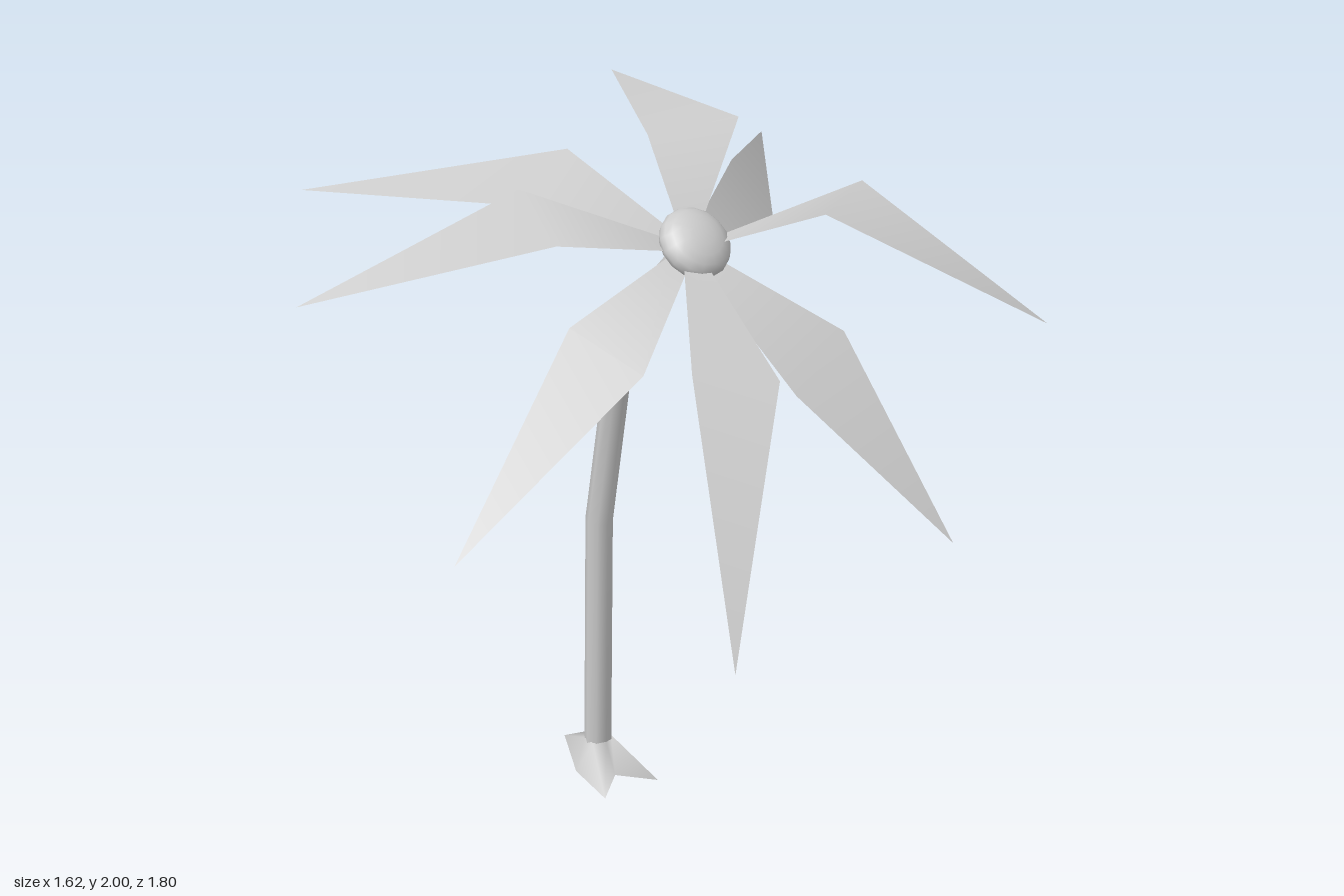
import * as THREE from 'three';

const material = new THREE.MeshStandardMaterial({ color: 0xcccccc, side: THREE.DoubleSide });
const crownCentre = new THREE.Vector3(0.075, 1.77, -0.025);
const crownAxis = new THREE.Vector3(0.69, 0.72, 0).normalize();
const SIDES = 8;

function makeMesh(name, points, index) {
  const geometry = new THREE.BufferGeometry().setFromPoints(points);
  geometry.setIndex(index);
  geometry.computeVertexNormals();
  const mesh = new THREE.Mesh(geometry, material);
  mesh.name = name;
  return mesh;
}

// Skin a list of rings (each with the same number of points).
function loft(name, rings) {
  const n = rings[0].length;
  const index = [];
  for (let r = 0; r < rings.length - 1; r++) {
    for (let i = 0; i < n; i++) {
      const a = r * n + i, b = r * n + (i + 1) % n;
      index.push(a, a + n, b, b, a + n, b + n);
    }
  }
  return makeMesh(name, rings.flat(), index);
}

// Ring in the plane across a tilt angle that leans from +y towards +x.
function ring(x, y, z, radius, tilt, sides) {
  return Array.from({ length: sides }, (_, i) => {
    const a = Math.PI - (i / sides) * Math.PI * 2;
    const u = Math.cos(a) * radius;
    return new THREE.Vector3(x + u * Math.cos(tilt), y - u * Math.sin(tilt), z - Math.sin(a) * radius);
  });
}

// Frond: narrow root in the crown, two shoulder points, one tip.
function frond(name, shoulderA, shoulderB, tip) {
  const [a, b, t] = [shoulderA, shoulderB, tip].map((p) => new THREE.Vector3(...p));
  const mid = a.clone().add(b).multiplyScalar(0.5);
  const across = a.clone().sub(b).normalize().multiplyScalar(0.03);
  const root = crownCentre.clone().addScaledVector(crownAxis, -0.03);
  root.addScaledVector(mid.sub(root).normalize(), 0.06);
  const rootA = root.clone().add(across);
  const rootB = root.clone().sub(across);
  // Order the corners so the upper side is the front.
  const up = b.clone().sub(a).cross(t.clone().sub(a)).y > 0;
  const index = up ? [0, 1, 2, 2, 1, 3, 2, 3, 4] : [0, 2, 1, 2, 3, 1, 2, 4, 3];
  return makeMesh(name, [rootA, rootB, a, b, t], index);
}

export function createModel() {
  const group = new THREE.Group();

  // Bent trunk
  const stations = [
    [-0.36, 0.07, 0.04, 0.02],
    [-0.34, 0.81, 0.039, 0.1],
    [-0.222, 1.445, 0.038, 0.47],
    [0.055, 1.755, 0.035, 0.76],
  ];
  group.add(loft('trunk', stations.map(([x, y, r, tilt]) => ring(x, y, -0.025, r, tilt, SIDES))));

  // Flared root with uneven points on the ground
  const foot = [
    [-0.53, -0.03], [-0.36, -0.11], [-0.16, -0.09],
    [-0.26, -0.01], [-0.18, 0.09], [-0.35, 0.065],
  ].map(([x, z]) => new THREE.Vector3(x, 0, z));
  group.add(loft('rootFlare', [foot, ring(-0.36, 0.08, -0.025, 0.04, 0, 6)]));

  // Flattened crown tilted along the trunk top
  const crown = new THREE.Mesh(new THREE.SphereGeometry(0.1, 16, 10), material);
  crown.name = 'crown';
  crown.scale.y = 0.55;
  crown.quaternion.setFromUnitVectors(new THREE.Vector3(0, 1, 0), crownAxis);
  crown.position.copy(crownCentre);
  group.add(crown);

  // Fronds: two shoulders and a tip each
  const fronds = [
    [[-0.045, 1.7, -0.4], [-0.15, 1.86, -0.34], [-0.655, 1.68, -0.89]],
    [[-0.095, 2.0, -0.315], [-0.16, 1.99, -0.06], [-0.76, 1.94, -0.415]],
    [[0.245, 1.89, -0.445], [0.31, 1.86, -0.26], [0.507, 1.45, -0.9]],
    [[0.363, 1.55, -0.286], [0.425, 1.45, -0.07], [0.704, 1.04, -0.377]],
    [[0.55, 1.585, 0.1], [0.454, 1.625, 0.3], [0.805, 1.0, 0.454]],
    [[0.272, 1.56, 0.305], [0.084, 1.65, 0.39], [0.21, 1.185, 0.85]],
    [[0.05, 1.86, 0.4], [-0.18, 1.93, 0.344], [-0.368, 1.695, 0.9]],
    [[-0.21, 1.855, 0.267], [-0.34, 1.93, 0.065], [-0.81, 1.805, 0.594]],
  ];
  fronds.forEach((f, i) => group.add(frond(`frond${i + 1}`, ...f)));

  return group;
}
